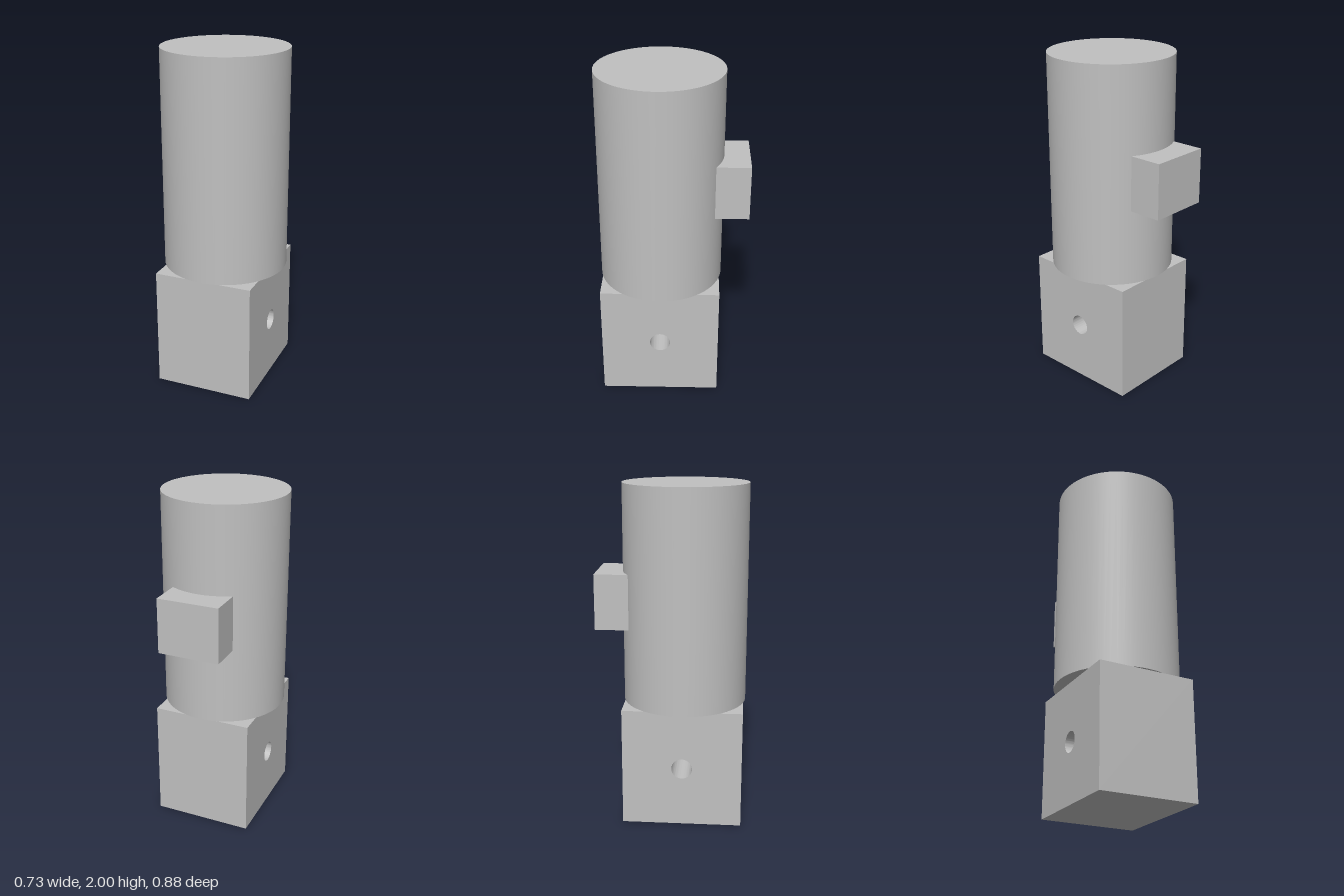
import * as THREE from 'three';
import { toCreasedNormals } from 'three/addons/utils/BufferGeometryUtils.js';

export function createModel() {
  const model = new THREE.Group();
  const grey = new THREE.MeshStandardMaterial({ color: 0xc0c0c0 });
  grey.name = 'grey';

  const axisZ = 0.073;   // z of the shared vertical axis
  const baseTop = 0.71;
  const radius = 0.367;

  const add = (name, geometry, x, y, z) => {
    const mesh = new THREE.Mesh(geometry, grey);
    mesh.name = name;
    mesh.position.set(x, y, z);
    model.add(mesh);
  };

  // Base block: side profile with a round cross hole, extruded along x
  const halfDepth = 0.353, width = 0.588;
  const profile = new THREE.Shape([
    new THREE.Vector2(-halfDepth, 0),
    new THREE.Vector2(halfDepth, 0),
    new THREE.Vector2(halfDepth, baseTop),
    new THREE.Vector2(-halfDepth, baseTop),
  ]);
  const hole = new THREE.Path();
  hole.absarc(0, 0.355, 0.061, 0, Math.PI * 2, true);
  profile.holes.push(hole);
  const base = new THREE.ExtrudeGeometry(profile, { depth: width, bevelEnabled: false, curveSegments: 48 });
  base.translate(0, 0, -width / 2);
  base.rotateY(-Math.PI / 2);
  add('baseBlock', toCreasedNormals(base, 0.6), 0, 0, axisZ);

  // Upright cylinder, slightly wider than the base
  const height = 2 - baseTop;
  add('cylinderBody', new THREE.CylinderGeometry(radius, radius, height, 64), 0, baseTop + height / 2, axisZ);

  // Rear block, its inner corners meeting the cylinder wall
  const back = -0.442, inner = -0.244;
  add('rearBlock', new THREE.BoxGeometry(0.367, 0.326, inner - back), 0, 1.328, (inner + back) / 2);

  return model;
}
